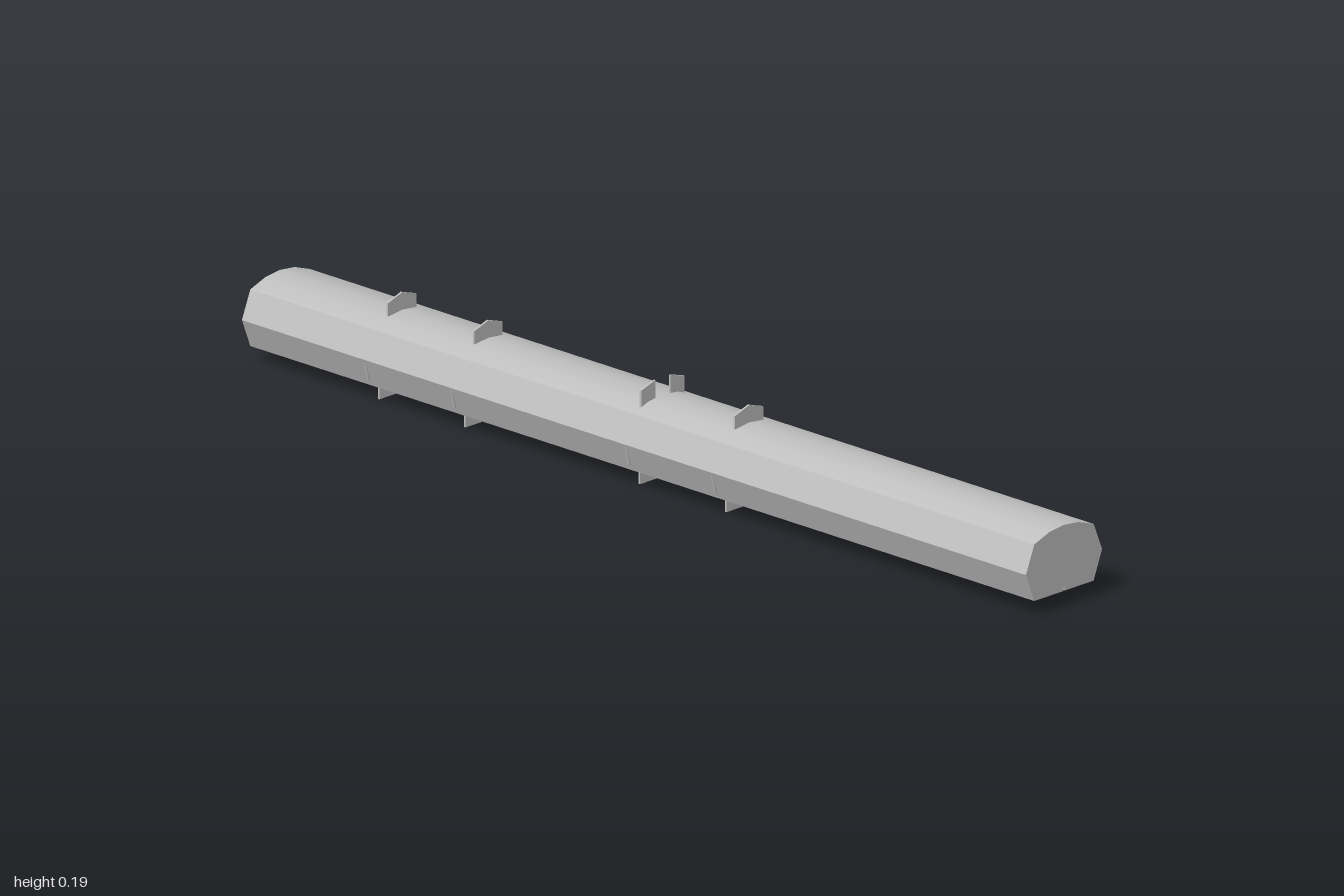
import * as THREE from 'three';
import { toCreasedNormals } from 'three/addons/utils/BufferGeometryUtils.js';

const grey = new THREE.MeshStandardMaterial({ color: 0xc0c0c0 });
grey.name = 'grey';

// Extrudes an x-y outline along z, centred on the given z
function slab(name, points, depth, z = 0) {
  const shape = new THREE.Shape(points.map(([x, y]) => new THREE.Vector2(x, y)));
  const extruded = new THREE.ExtrudeGeometry(shape, { depth, bevelEnabled: false });
  extruded.translate(0, 0, z - depth / 2);
  const mesh = new THREE.Mesh(toCreasedNormals(extruded, Math.PI / 6), grey);
  mesh.name = name;
  return mesh;
}

const mirrored = (half) => [...half, ...half.map(([x, y]) => [-x, y]).reverse()];

export function createModel() {
  const model = new THREE.Group();
  model.name = 'ribbedBeam';

  // Long faceted body with a narrow groove along its underside
  model.add(slab('body', mirrored([
    [0.001, 0.039], [0.002, 0.031], [0.078, 0.031], [0.1, 0.087],
    [0.078, 0.141], [0.038, 0.155], [0.001, 0.159],
  ]), 2));

  const thickness = 0.004;
  const stations = [0.195, -0.025, -0.47, -0.69];
  stations.forEach((z, i) => {
    const station = new THREE.Group();
    station.name = 'finSet' + (i + 1);

    // Top fins: a gabled single fin, or a split pair at the second station
    if (i === 1) {
      for (const s of [-1, 1]) {
        station.add(slab(s > 0 ? 'topFinLeft' : 'topFinRight', [
          [s * 0.02, 0.145], [s * 0.057, 0.14], [s * 0.057, 0.181], [s * 0.02, 0.192],
        ], thickness, z));
      }
    } else {
      station.add(slab('topFin', [
        [-0.037, 0.15], [0.037, 0.15], [0.037, 0.181], [0, 0.193], [-0.037, 0.181],
      ], thickness, z));
    }

    // Bottom plate, slightly notched at the centre
    station.add(slab('bottomFin', [
      [-0.06, 0], [-0.006, 0], [0, 0.003], [0.006, 0], [0.06, 0],
      [0.06, 0.034], [-0.06, 0.034],
    ], thickness, z));

    // Small fins on the lower flanks
    for (const s of [-1, 1]) {
      station.add(slab(s > 0 ? 'flankFinLeft' : 'flankFinRight', [
        [s * 0.078, 0.04], [s * 0.088, 0.045], [s * 0.099, 0.086], [s * 0.09, 0.08],
      ], thickness, z));
    }
    model.add(station);
  });

  return model;
}
